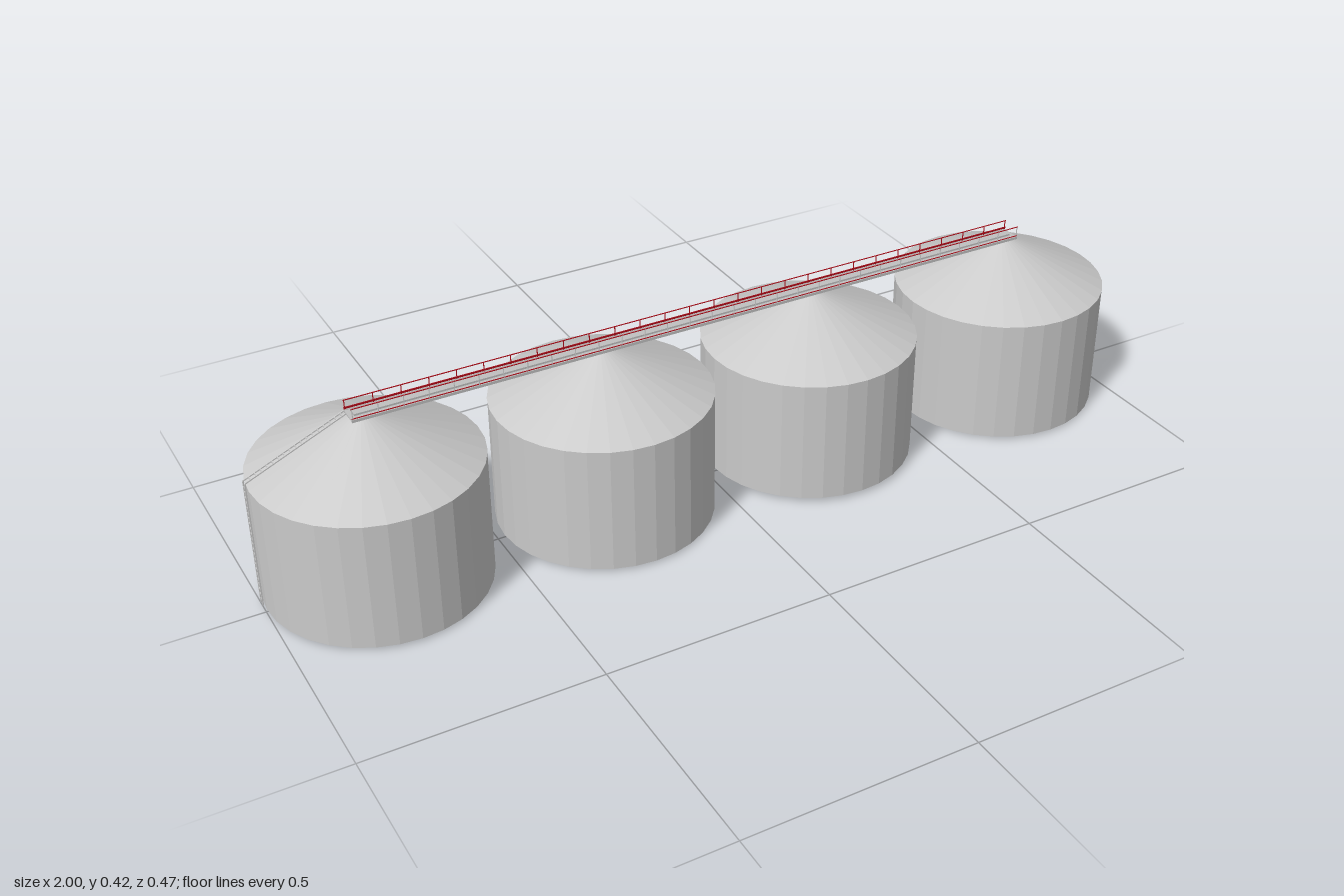
import * as THREE from 'three';

const mat = (name, color, extra = {}) => {
  const m = new THREE.MeshStandardMaterial({ color, flatShading: true, ...extra });
  m.name = name;
  return m;
};

export function createModel() {
  const steel = mat('galvanised steel', 0xcacaca, { side: THREE.DoubleSide });
  const deckGrey = mat('walkway grey', 0xc0c0c0);
  const red = mat('safety red', 0xb00c18);
  const root = new THREE.Group();
  root.name = 'siloRow';

  const add = (parent, name, geo, material, x = 0, y = 0, z = 0) => {
    const m = new THREE.Mesh(geo, material);
    m.name = name;
    m.position.set(x, y, z);
    parent.add(m);
    return m;
  };
  const box = (parent, name, w, h, d, material, x, y, z) =>
    add(parent, name, new THREE.BoxGeometry(w, h, d), material, x, y, z);
  // Square bar running between two points
  const bar = (parent, name, a, b, t, material) => {
    const m = add(parent, name, new THREE.BoxGeometry(t, t, a.distanceTo(b)), material);
    m.position.copy(a).lerp(b, 0.5);
    m.lookAt(b);
  };
  const V = (x, y, z) => new THREE.Vector3(x, y, z);

  // Four open-bottomed bins with conical roofs
  const R = 0.235, EAVE = 0.288, PEAK = 0.39;
  [[-0.763, 0.005], [-0.25, 0.005], [0.253, 0.01], [0.764, 0.005]].forEach(([x, base], i) => {
    const bin = new THREE.Group();
    bin.name = `silo${i + 1}`;
    bin.position.x = x;
    root.add(bin);
    const h = EAVE - base;
    add(bin, 'binWall', new THREE.CylinderGeometry(R, R, h, 32, 1, true), steel, 0, base + h / 2, 0);
    add(bin, 'coneRoof', new THREE.CylinderGeometry(0.019, R + 0.001, PEAK - EAVE, 32, 1, true),
      steel, 0, (PEAK + EAVE) / 2, 0);
    add(bin, 'roofCap', new THREE.CylinderGeometry(0.019, 0.019, 0.003, 32), steel, 0, PEAK, 0);
  });

  // Walkway over the peaks, with edge beams and a conveyor casing
  const walkway = new THREE.Group();
  walkway.name = 'walkway';
  root.add(walkway);
  const L = 1.58, HALF = 0.022;
  box(walkway, 'deck', L, 0.003, HALF * 2, deckGrey, 0, 0.3925, 0);
  for (const z of [-HALF, HALF]) box(walkway, 'edgeBeam', L, 0.006, 0.002, deckGrey, 0, 0.392, z);
  box(walkway, 'conveyor', L - 0.02, 0.004, 0.022, deckGrey, 0, 0.396, -0.003);

  // Handrails: steel posts at the front, red posts at the back
  for (const [z, top, posts, count, toe] of [[HALF, 0.419, steel, 30, 0.0015], [-HALF, 0.416, red, 27, 0.004]]) {
    for (let i = 0; i <= count; i++)
      box(walkway, 'railPost', 0.0016, top - 0.392, 0.0016, posts, -0.788 + 1.576 * i / count, (top + 0.392) / 2, z);
    box(walkway, 'handrail', L, 0.0016, 0.0016, red, 0, top, z);
    box(walkway, 'toeRail', L, toe, 0.0016, red, 0, 0.3965 + toe / 2, z);
  }

  // Ladder up the outer bin wall and over its roof
  const ladder = new THREE.Group();
  ladder.name = 'ladder';
  root.add(ladder);
  const foot = V(-0.9985, 0, -0.03), eave = V(-0.9985, 0.291, -0.03), head = V(-0.785, 0.392, -0.02);
  for (const [a, b, rungs] of [[foot, eave, 24], [eave, head, 18]]) {
    for (const s of [-0.006, 0.006]) {
      const off = V(0, 0, s);
      bar(ladder, 'ladderRail', a.clone().add(off), b.clone().add(off), 0.0026, steel);
    }
    for (let i = 1; i < rungs; i++) {
      const p = a.clone().lerp(b, i / rungs);
      box(ladder, 'rung', 0.002, 0.003, 0.012, steel, p.x, p.y, p.z);
    }
  }

  return root;
}
